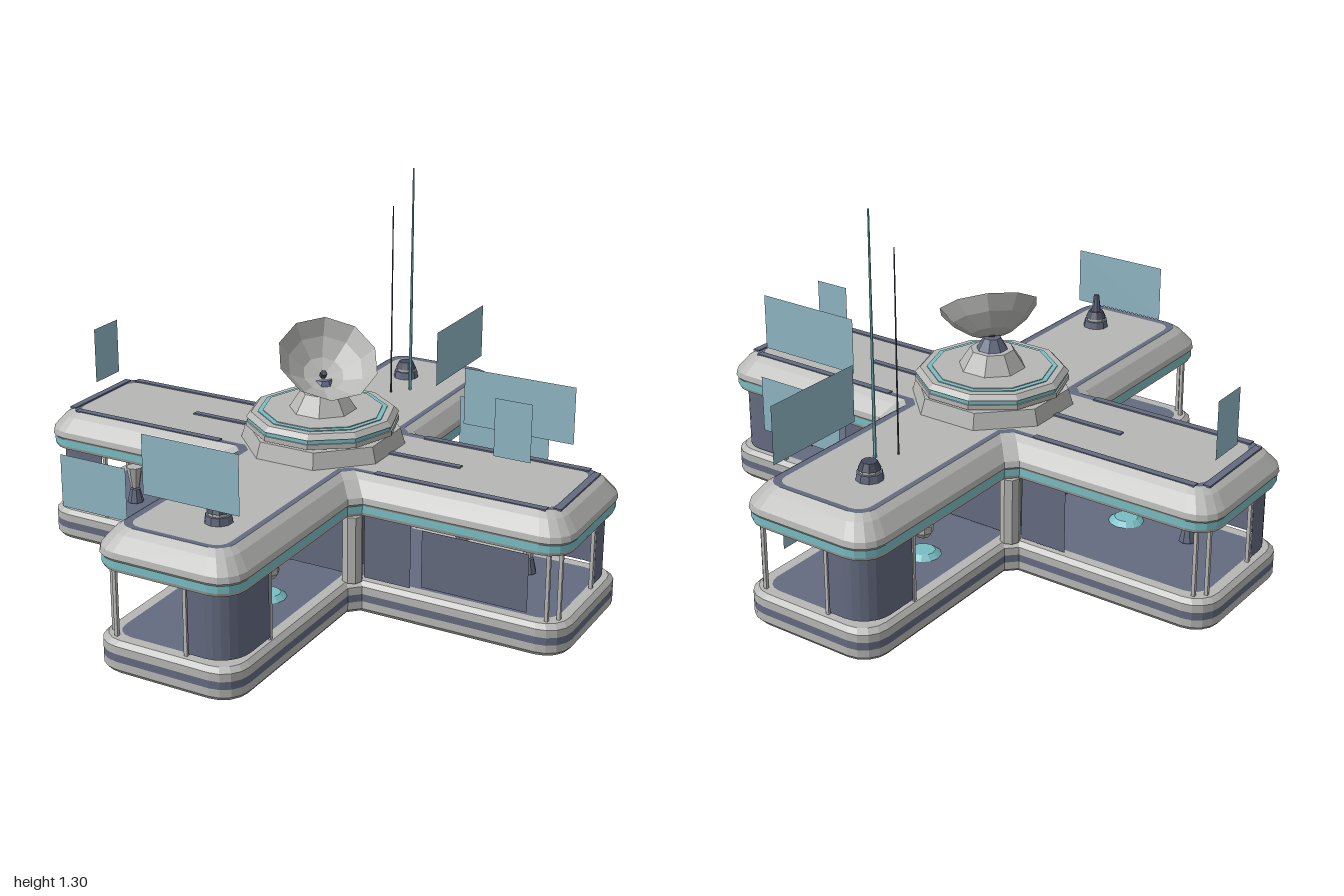
import * as THREE from 'three';

const make = (name, color, side = THREE.FrontSide) => {
  const m = new THREE.MeshStandardMaterial({ color, side, flatShading: true });
  m.name = name;
  return m;
};

export function createModel() {
  const root = new THREE.Group();
  const light = make('light grey', 0xb6b6b4, THREE.DoubleSide);
  const slate = make('slate', 0x646b80, THREE.DoubleSide);
  const dark = make('dark slate', 0x464c5c, THREE.DoubleSide);
  const teal = make('teal trim', 0x78bec4, THREE.DoubleSide);
  const screen = make('screen blue', 0x8fb6c4, THREE.DoubleSide);

  const add = (name, geo, mat, x = 0, y = 0, z = 0, parent = root) => {
    const m = new THREE.Mesh(geo, mat);
    m.name = name;
    m.position.set(x, y, z);
    parent.add(m);
    return m;
  };

  // Cross-shaped outline, inset by d, counter-clockwise seen from above
  const outline = (d) => {
    const w = 0.26 - d, L = 1 - d, r = 0.09 - d * 0.5, n = 0.035, pts = [];
    for (let arm = 0; arm < 4; arm++) {
      const list = [[w + n, -w]];
      for (const s of [-1, 1]) {
        for (let k = 0; k <= 4; k++) {
          const a = (s < 0 ? -Math.PI / 2 : 0) + (k / 4) * Math.PI / 2;
          list.push([L - r + r * Math.cos(a), s * (w - r) + r * Math.sin(a)]);
        }
      }
      list.push([w + n, w]);
      const c = [1, 0, -1, 0][arm], s = [0, 1, 0, -1][arm];
      for (const [u, v] of list) pts.push(new THREE.Vector2(u * c - v * s, u * s + v * c));
    }
    return pts;
  };

  // Skin between successive outlines given as [inset, height]
  const band = (name, profile, mat) => {
    const pos = [];
    for (let j = 0; j < profile.length - 1; j++) {
      const [d0, y0] = profile[j], [d1, y1] = profile[j + 1];
      const lo = outline(d0), hi = outline(d1);
      lo.forEach((p, i) => {
        const k = (i + 1) % lo.length;
        const a = [p.x, y0, -p.y], b = [lo[k].x, y0, -lo[k].y];
        const c = [hi[k].x, y1, -hi[k].y], e = [hi[i].x, y1, -hi[i].y];
        pos.push(...a, ...b, ...c, ...a, ...c, ...e);
      });
    }
    const g = new THREE.BufferGeometry();
    g.setAttribute('position', new THREE.Float32BufferAttribute(pos, 3));
    g.computeVertexNormals();
    return add(name, g, mat);
  };
  const cap = (name, d, y, mat, up = true) => {
    const g = new THREE.ShapeGeometry(new THREE.Shape(outline(d)));
    g.rotateX(-Math.PI / 2);
    if (!up) {
      const ix = g.index.array;
      for (let i = 0; i < ix.length; i += 3) [ix[i], ix[i + 1]] = [ix[i + 1], ix[i]];
      g.computeVertexNormals();
    }
    add(name, g, mat, 0, y, 0);
  };

  // Base slab
  cap('underside', 0.045, 0, slate, false);
  band('baseLower', [[0.045, 0], [0.012, 0], [0, 0.015], [0, 0.042]], light);
  band('baseStripe', [[0, 0.042], [0, 0.068]], slate);
  band('baseUpper', [[0, 0.068], [0, 0.095], [0.015, 0.11], [0.05, 0.11]], light);
  cap('floor', 0.05, 0.11, slate);

  // Roof
  cap('ceiling', 0.035, 0.345, dark, false);
  band('roofLip', [[0.035, 0.345], [0.01, 0.345], [0.005, 0.357]], light);
  band('roofTrim', [[0.005, 0.357], [0.005, 0.382]], teal);
  band('roofEdge', [[0.005, 0.382], [0, 0.39], [0.004, 0.41], [0.04, 0.455], [0.065, 0.472]], light);
  band('roofGroove', [[0.065, 0.472], [0.088, 0.47]], slate);
  cap('roofTop', 0.088, 0.47, light);
  for (const s of [-1, 1]) {
    add('roofRidge', new THREE.BoxGeometry(0.26, 0.006, 0.022), slate, s * 0.39, 0.472, 0);
    for (const t of [-1, 1]) {
      add('roofSideStrip', new THREE.BoxGeometry(0.6, 0.006, 0.025), slate, s * 0.6, 0.472, t * 0.183);
    }
    add('roofEndStrip', new THREE.BoxGeometry(0.025, 0.006, 0.34), slate, s * 0.93, 0.472, 0);
  }

  // Walls, posts and furniture of each arm
  const wall = (name, pts, mat, parent, y0 = 0.12, y1 = 0.345) => {
    const pos = [];
    for (let i = 0; i < pts.length - 1; i++) {
      const [x0, z0] = pts[i], [x1, z1] = pts[i + 1];
      pos.push(x0, y0, z0, x1, y0, z1, x1, y1, z1, x0, y0, z0, x1, y1, z1, x0, y1, z0);
    }
    const g = new THREE.BufferGeometry();
    g.setAttribute('position', new THREE.Float32BufferAttribute(pos, 3));
    g.computeVertexNormals();
    add(name, g, mat, 0, 0, 0, parent);
  };
  for (let i = 0; i < 4; i++) {
    const arm = new THREE.Group();
    arm.name = 'arm' + (i + 1);
    arm.rotation.y = i * Math.PI / 2;
    root.add(arm);
    const curve = [[0.08, 0.97]];
    for (let k = 0; k <= 6; k++) {
      const a = Math.PI / 2 * (1 - k / 6);
      curve.push([0.14 + 0.1 * Math.cos(a), 0.87 + 0.1 * Math.sin(a)]);
    }
    curve.push([0.24, 0.76]);
    wall('curvedCornerWall', curve, slate, arm);
    wall('partition', [[-0.21, 0.24], [0.21, 0.24]], slate, arm);
    add('innerColumn', new THREE.CylinderGeometry(0.035, 0.035, 0.235, 8), light, 0.255, 0.227, 0.255, arm);
    for (const [x, z] of [[-0.22, 0.93], [-0.19, 0.96], [0.07, 0.965], [0.235, 0.75]]) {
      add('windowPost', new THREE.BoxGeometry(0.012, 0.235, 0.012), light, x, 0.227, z, arm);
    }
    add('stoolBase', new THREE.CylinderGeometry(0.04, 0.06, 0.015, 12), teal, 0.08, 0.12, 0.5, arm);
    add('stoolSeat', new THREE.SphereGeometry(0.038, 8, 5), light, 0.08, 0.21, 0.5, arm);
    add('lampStem', new THREE.CylinderGeometry(0.018, 0.03, 0.05, 8), slate, 0.075, 0.14, 0.74, arm);
    add('lampHead', new THREE.CylinderGeometry(0.03, 0.016, 0.08, 8), light, 0.075, 0.21, 0.74, arm);
  }
  for (const s of [-1, 1]) {
    for (const z of [-0.24, 0.24]) wall('sidePanel', [[s * 0.29, z], [s * 0.46, z]], slate, root);
  }
  wall('darkScreen', [[0.51, 0.262], [0.88, 0.262]], slate, root, 0.145, 0.345);

  // Hub turret
  const tier = (name, rt, rb, y0, y1, n, mat) => {
    const g = new THREE.CylinderGeometry(rt, rb, y1 - y0, n);
    g.rotateY(Math.PI / n);
    return add(name, g, mat, 0, (y0 + y1) / 2, 0);
  };
  tier('hubSkirt', 0.265, 0.285, 0.46, 0.525, 8, light);
  tier('hubGap', 0.24, 0.24, 0.525, 0.535, 10, slate);
  tier('hubRingLower', 0.262, 0.262, 0.533, 0.55, 10, light);
  tier('hubTrim', 0.257, 0.257, 0.55, 0.565, 10, teal);
  tier('hubRingUpper', 0.245, 0.262, 0.565, 0.582, 10, light);
  tier('hubInlay', 0.222, 0.222, 0.58, 0.585, 10, teal);
  tier('hubDeck', 0.205, 0.205, 0.58, 0.588, 10, light);
  tier('dishPedestal', 0.075, 0.12, 0.58, 0.65, 8, light);

  // Tilted dish
  const dish = new THREE.Group();
  dish.name = 'dish';
  const axis = new THREE.Vector3(0.43, 0.8, 0.41).normalize();
  dish.quaternion.setFromUnitVectors(new THREE.Vector3(0, 1, 0), axis);
  dish.position.set(0.04, 0.78, 0.035);
  root.add(dish);
  const bowl = [[0.001, -0.105], [0.07, -0.092], [0.13, -0.05], [0.172, 0]];
  add('dishBowl', new THREE.LatheGeometry(bowl.map(([r, y]) => new THREE.Vector2(r, y)), 10), light, 0, 0, 0, dish);
  add('dishReceiver', new THREE.CylinderGeometry(0.012, 0.012, 0.02, 6), dark, 0, -0.095, 0, dish);
  tier('dishMount', 0.03, 0.06, 0.64, 0.69, 8, slate);

  // Roof beacons
  const beacon = (x, z, tall) => {
    add('beaconFoot', new THREE.CylinderGeometry(0.042, 0.046, 0.025, 10), slate, x, 0.483, z);
    add('beaconCollar', new THREE.CylinderGeometry(0.034, 0.034, 0.012, 10), light, x, 0.501, z);
    add('beaconBody', new THREE.CylinderGeometry(0.026, 0.038, 0.025, 10), dark, x, 0.518, z);
    if (tall) add('beaconTip', new THREE.CylinderGeometry(0.01, 0.018, 0.065, 8), slate, x, 0.56, z);
  };
  beacon(0.06, 0.755, true);
  beacon(-0.05, -0.725, false);

  // Antennas
  add('tallAntenna', new THREE.CylinderGeometry(0.003, 0.006, 0.83, 6), teal, 0.03, 0.885, -0.6);
  add('thinAntenna', new THREE.CylinderGeometry(0.002, 0.003, 0.7, 6), dark, -0.018, 0.82, -0.54);

  // Floating screens: width, height, centre, facing sideways or not
  const panels = [
    [0.35, 0.2, -0.005, 0.63, 0.81, false],
    [0.4, 0.2, 0.62, 0.63, -0.23, false],
    [0.13, 0.2, 0.695, 0.63, -0.01, false],
    [0.34, 0.2, 0.475, 0.44, -0.45, false],
    [0.28, 0.2, -0.765, 0.24, 0.29, false],
    [0.39, 0.2, 0.17, 0.63, -0.725, true],
    [0.28, 0.2, 0.275, 0.24, -0.64, true],
    [0.14, 0.2, -0.92, 0.63, -0.03, true],
  ];
  for (const [w, h, x, y, z, side] of panels) {
    const p = add('floatingScreen', new THREE.PlaneGeometry(w, h), screen, x, y, z);
    if (side) p.rotation.y = Math.PI / 2;
  }
  return root;
}
